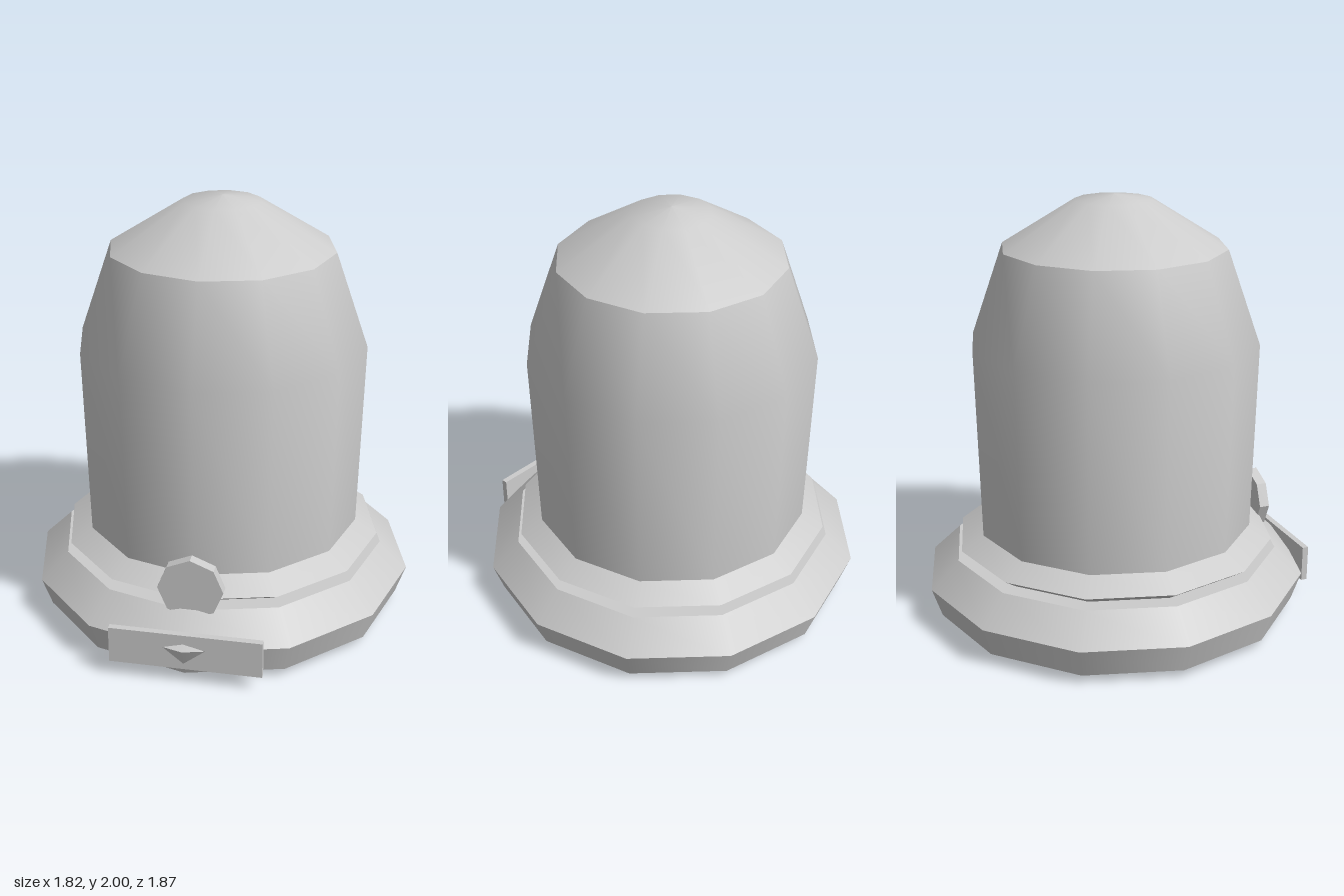
import * as THREE from 'three';

const SIDES = 12;
const TURN = Math.PI / 24; // rotation of the twelve-sided body
const CZ = -0.03; // body axis sits slightly behind the centre

export function createModel() {
  const model = new THREE.Group();
  model.name = 'domedCanister';
  const grey = new THREE.MeshStandardMaterial({ color: 0xcccccc });
  grey.name = 'light grey';

  // Each band is its own lathe: smooth around, sharp between bands
  const bands = {
    underside: [[0, 0], [0.873, 0.04]],
    baseWall: [[0.873, 0.04], [0.92, 0.18]],
    baseSlope: [[0.92, 0.18], [0.785, 0.31]],
    baseLedge: [[0.785, 0.31], [0.7, 0.31]],
    collarUnderside: [[0.7, 0.31], [0.767, 0.355]],
    collarSlope: [[0.767, 0.355], [0.66, 0.42]],
    body: [[0.66, 0.42], [0.68, 1.32], [0.525, 1.76]],
    cap: [[0.525, 1.76], [0.18, 1.975], [0, 2]],
  };
  for (const [name, profile] of Object.entries(bands)) {
    const points = profile.map(([r, y]) => new THREE.Vector2(r, y));
    const mesh = new THREE.Mesh(new THREE.LatheGeometry(points, SIDES, TURN), grey);
    mesh.name = name;
    mesh.position.z = CZ;
    model.add(mesh);
  }

  // Fittings on the front right share one facing direction
  const addFitting = (name, geometry, x, y, z) => {
    const flat = geometry.toNonIndexed();
    flat.computeVertexNormals();
    const mesh = new THREE.Mesh(flat, grey);
    mesh.name = name;
    mesh.position.set(x, y, z);
    mesh.rotation.y = -0.385;
    model.add(mesh);
  };

  // Name plate, with a corner of the base poking through it
  addFitting('plate', new THREE.BoxGeometry(0.695, 0.175, 0.03), -0.33, 0.1625, 0.785);

  // Eight-sided knob standing on the base ledge
  const knob = new THREE.CylinderGeometry(0.15, 0.15, 0.05, 8).rotateX(Math.PI / 2);
  addFitting('knob', knob, -0.28, 0.41, 0.665);

  return model;
}
